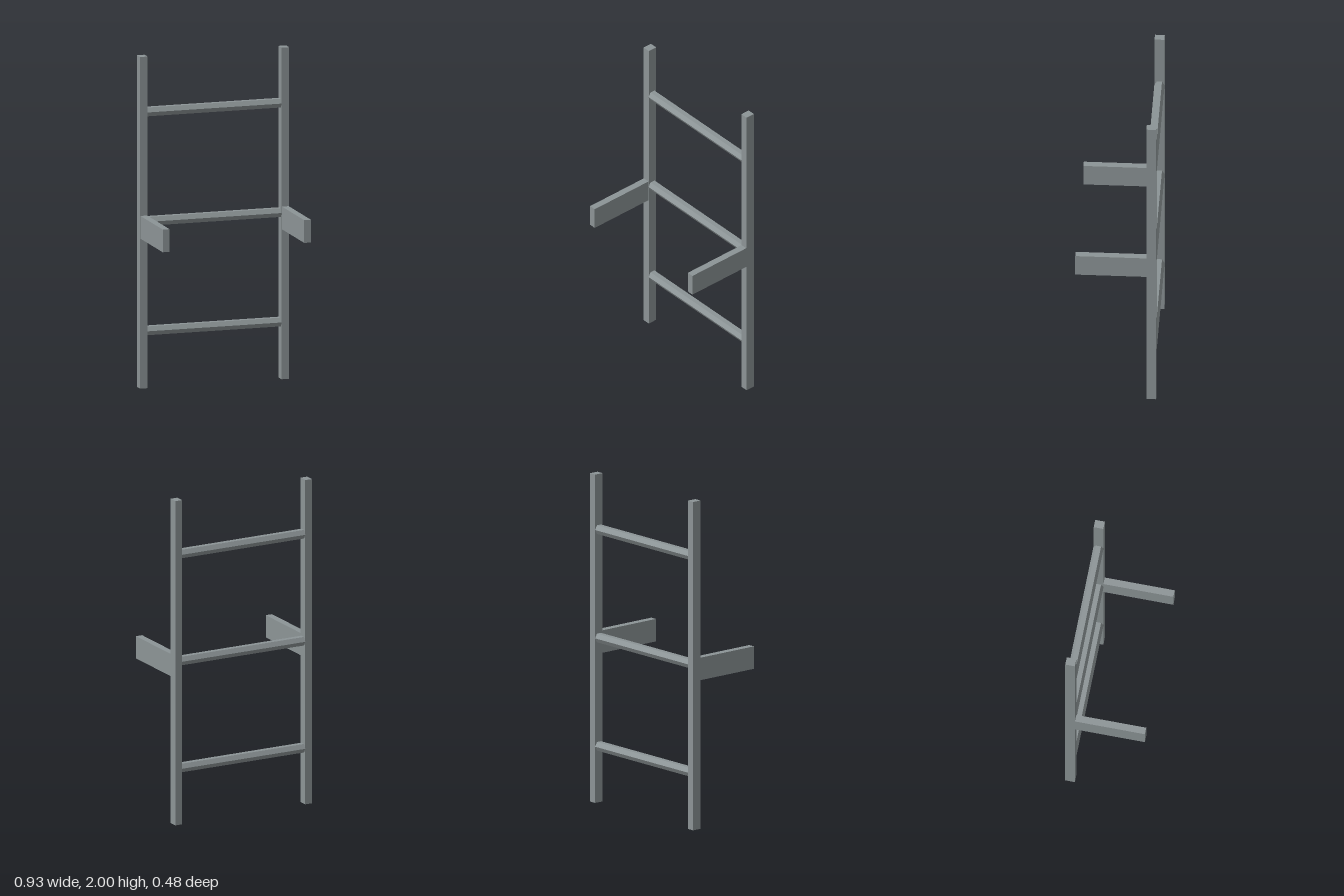
import * as THREE from 'three';

export function createModel() {
  const model = new THREE.Group();
  model.name = 'ladder';
  const steel = new THREE.MeshStandardMaterial({ color: 0x8c9496 });
  steel.name = 'grey steel';

  const add = (name, geometry, x, y, z) => {
    const mesh = new THREE.Mesh(geometry, steel);
    mesh.name = name;
    mesh.position.set(x, y, z);
    model.add(mesh);
  };

  const railZ = -0.21;

  // Upright rails and the flat brackets reaching forward from them
  const rail = new THREE.BoxGeometry(0.047, 2, 0.058);
  const bracket = new THREE.BoxGeometry(0.042, 0.137, 0.421);
  for (const [side, s] of [['left', 1], ['right', -1]]) {
    add(side + 'Rail', rail, s * 0.44, 1, railZ);
    add(side + 'Bracket', bracket, s * 0.44, 0.973, 0.0295);
  }

  // Hexagonal rungs with an edge facing the front
  const rung = new THREE.CylinderGeometry(0.0305, 0.0305, 0.834, 6).toNonIndexed();
  rung.computeVertexNormals();
  rung.rotateZ(Math.PI / 2);
  [0.343, 1.003, 1.663].forEach((y, i) => add('rung' + (i + 1), rung, 0, y, railZ));

  return model;
}
